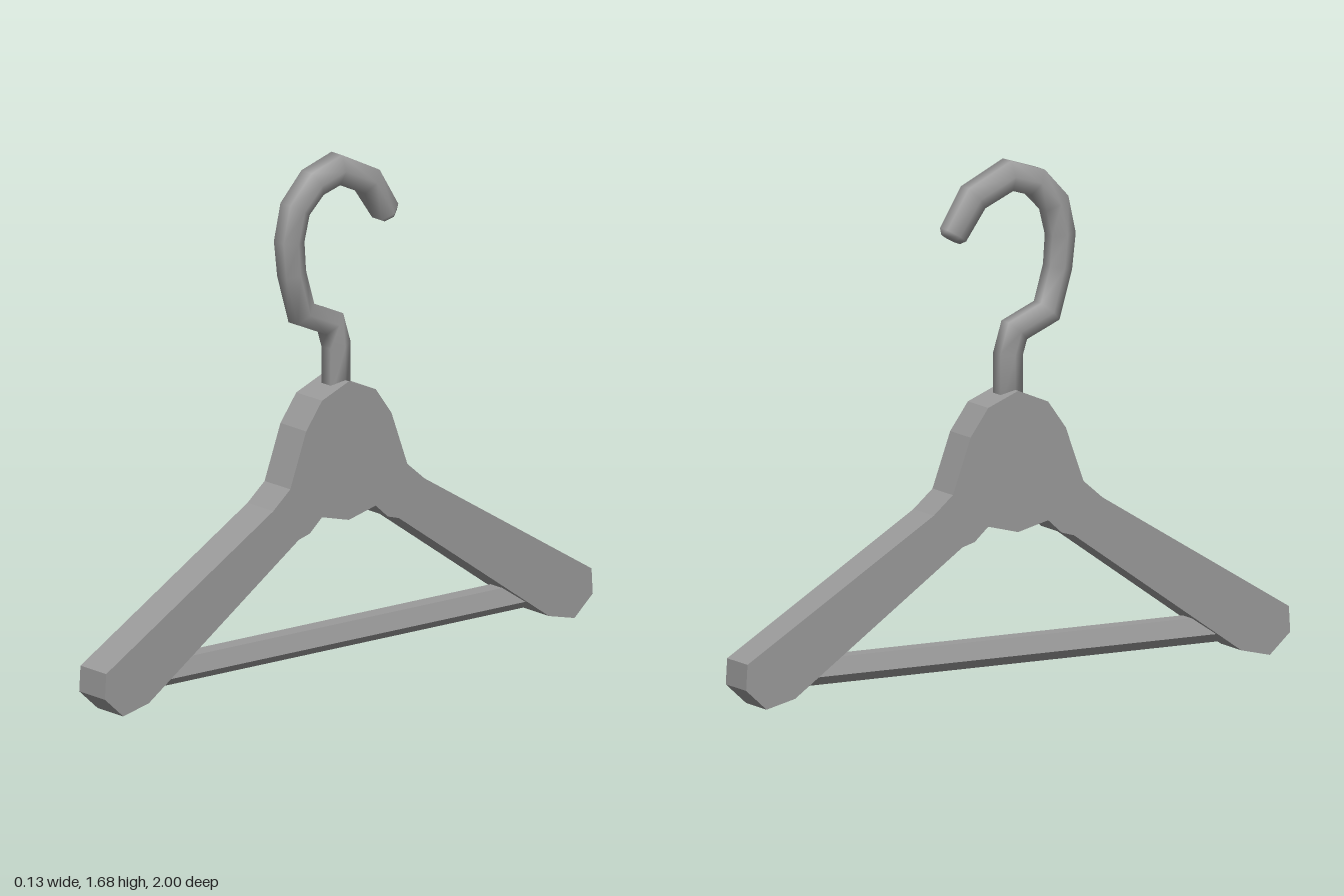
import * as THREE from 'three';

const material = new THREE.MeshStandardMaterial({ color: 0x9a9a9a });
const flatMaterial = new THREE.MeshStandardMaterial({ color: 0x9a9a9a, flatShading: true });

// Six-sided tube with mitred joints; path rows are [z, y, radius]
function tubeInZY(path, sides) {
  const positions = [], index = [];
  const n = path.length;
  const direction = (a, b) => new THREE.Vector2(b[0] - a[0], b[1] - a[1]).normalize();
  path.forEach(([z, y, r], i) => {
    const before = direction(path[Math.max(i - 1, 0)], path[Math.max(i, 1)]);
    const after = direction(path[Math.min(i, n - 2)], path[Math.min(i + 1, n - 1)]);
    const tangent = before.clone().add(after).normalize();
    const mitre = 1 / tangent.dot(after);
    for (let j = 0; j < sides; j++) {
      const a = (j / sides) * Math.PI * 2;
      const out = Math.sin(a) * r * mitre;
      positions.push(Math.cos(a) * r, y - tangent.x * out, z + tangent.y * out);
    }
  });
  for (let i = 0; i < n - 1; i++) {
    for (let j = 0; j < sides; j++) {
      const k = (j + 1) % sides;
      const a = i * sides + j, b = i * sides + k, c = a + sides, d = b + sides;
      index.push(a, c, b, b, c, d);
    }
  }
  // End caps
  const last = (n - 1) * sides;
  for (let j = 1; j < sides - 1; j++) {
    index.push(0, j, j + 1, last, last + j + 1, last + j);
  }
  const geometry = new THREE.BufferGeometry();
  geometry.setAttribute('position', new THREE.Float32BufferAttribute(positions, 3));
  geometry.setIndex(index);
  geometry.computeVertexNormals();
  return geometry;
}

function addMesh(group, name, geometry, mat) {
  const mesh = new THREE.Mesh(geometry, mat);
  mesh.name = name;
  group.add(mesh);
}

export function createModel() {
  const group = new THREE.Group();
  group.name = 'coatHanger';

  // Body: half outline from top centre to bottom centre, mirrored
  const half = [
    [0, 0.945], [0.11, 0.9], [0.175, 0.81], [0.24, 0.63], [0.31, 0.57],
    [0.995, 0.152], [1, 0.068], [0.925, 0], [0.82, 0.025],
    [0.205, 0.457], [0.16, 0.47], [0.11, 0.515], [0, 0.487],
  ];
  const mirrored = half.slice(1, -1).reverse().map(([z, y]) => [-z, y]);
  const outline = [...half, ...mirrored].map(([z, y]) => new THREE.Vector2(z, y));
  const width = 0.13;
  const body = new THREE.ExtrudeGeometry(new THREE.Shape(outline), { depth: width, bevelEnabled: false });
  body.translate(0, 0, -width / 2).rotateY(-Math.PI / 2);
  addMesh(group, 'body', body, flatMaterial);

  // Five-sided crossbar with its flat face up
  const bar = new THREE.CylinderGeometry(0.05, 0.05, 1.7, 5);
  bar.rotateX(Math.PI / 2).translate(0, 0.098, 0);
  addMesh(group, 'crossbar', bar, flatMaterial);

  // Hook: stem, kink, loop and blunt rounded tip
  const hook = tubeInZY([
    [0, 0.88, 0.047], [0, 1.055, 0.047], [0.023, 1.13, 0.047], [0.142, 1.182, 0.047],
    [0.182, 1.32, 0.047], [0.192, 1.427, 0.049], [0.168, 1.53, 0.05], [0.096, 1.605, 0.052],
    [0, 1.635, 0.053], [-0.128, 1.574, 0.051], [-0.202, 1.46, 0.047], [-0.211, 1.445, 0.033],
  ], 6);
  addMesh(group, 'hook', hook, material);

  return group;
}
